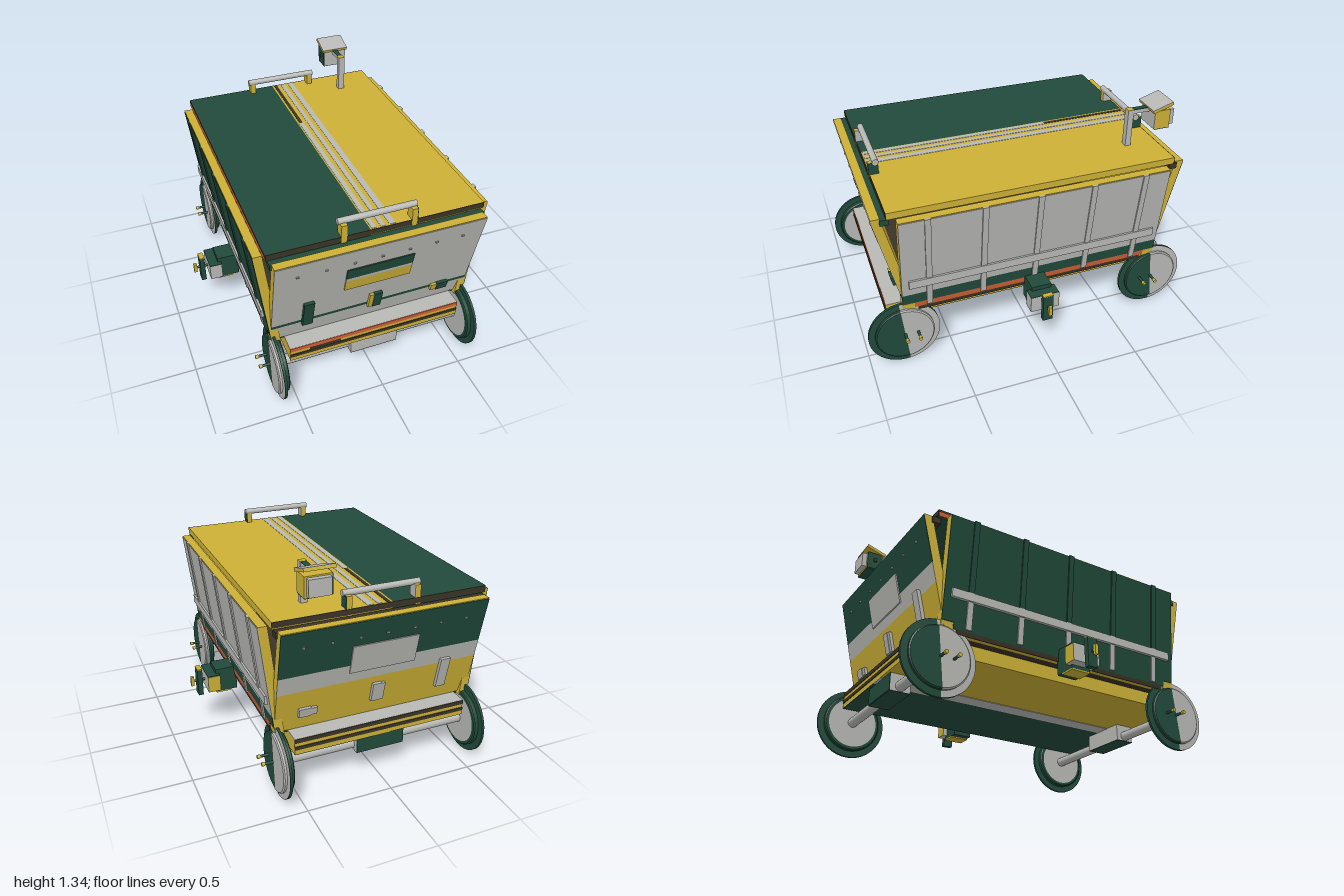
import * as THREE from 'three';

const mat = (name, color) => {
  const m = new THREE.MeshStandardMaterial({ color });
  m.name = name;
  return m;
};
const GRAY = mat('light gray', 0xb8b8b5);
const YELLOW = mat('yellow', 0xccb036);
const GREEN = mat('dark green', 0x214a3b);
const ORANGE = mat('orange', 0xcf5f35);
const BROWN = mat('dark brown', 0x3a3326);

export function createModel() {
  const root = new THREE.Group();
  root.name = 'hopperCart';

  const add = (name, geo, m, parent = root) => {
    const mesh = new THREE.Mesh(geo, m);
    mesh.name = name;
    parent.add(mesh);
    return mesh;
  };
  // Box given by its limits on each axis
  const box = (name, m, x0, x1, y0, y1, z0, z1, parent = root) => {
    const b = add(name, new THREE.BoxGeometry(Math.abs(x1 - x0), y1 - y0, Math.abs(z1 - z0)), m, parent);
    b.position.set((x0 + x1) / 2, (y0 + y1) / 2, (z0 + z1) / 2);
    return b;
  };
  // Cylinder lying along x
  const rodX = (name, m, r, x0, x1, y, z, parent = root) => {
    const c = add(name, new THREE.CylinderGeometry(r, r, Math.abs(x1 - x0), 24).rotateZ(Math.PI / 2), m, parent);
    c.position.set((x0 + x1) / 2, y, z);
    return c;
  };

  // Leaning hopper walls: outward distance of the outer face at height y
  const sideLean = y => 0.6 + (y - 0.4) * 0.12;
  const endLean = y => 0.77 + (y - 0.4) * 0.235;
  const walls = {
    left: { lean: sideLean, angle: 0, sign: 1 },
    right: { lean: sideLean, angle: Math.PI, sign: -1 },
    front: { lean: endLean, angle: -Math.PI / 2, sign: -1 },
    back: { lean: endLean, angle: Math.PI / 2, sign: 1 },
  };
  // Slab following a wall from y0 to y1, depth a to b from its face, u0 to u1 sideways
  const slab = (name, m, wall, y0, y1, a, b, u0, u1) => {
    const { lean, angle, sign } = walls[wall];
    const s = new THREE.Shape([
      new THREE.Vector2(lean(y0) + a, y0), new THREE.Vector2(lean(y0) + b, y0),
      new THREE.Vector2(lean(y1) + b, y1), new THREE.Vector2(lean(y1) + a, y1),
    ]);
    const g = new THREE.ExtrudeGeometry(s, { depth: u1 - u0, bevelEnabled: false });
    g.translate(0, 0, sign > 0 ? u0 : -u1).rotateY(angle);
    return add(name, g, m);
  };

  // Side walls with ribs and rail
  for (const wall of ['left', 'right']) {
    const isLeft = wall === 'left';
    const k = isLeft ? 1 : -1;
    const skin = isLeft ? GRAY : GREEN;
    slab(wall + 'Wall', YELLOW, wall, 0.36, 1.02, -0.05, 0, -0.79, 0.79);
    slab(wall + 'WallSkin', skin, wall, 0.49, 1.015, 0, 0.004, -0.79, 0.79);
    slab(wall + 'WallBand', GREEN, wall, 0.42, 0.49, 0, 0.004, -0.79, 0.79);
    slab(wall + 'WallSill', isLeft ? ORANGE : GREEN, wall, 0.385, 0.42, 0, 0.004, -0.72, 0.72);
    slab(wall + 'WallLowerSill', BROWN, wall, 0.36, 0.385, 0, 0.004, -0.7, 0.7);
    for (let i = -2; i <= 2; i++) {
      const z = i * 0.317;
      slab('upperRib', skin, wall, 0.6, 1.02, 0, 0.012, z - 0.017, z + 0.017);
      slab('lowerRib', GRAY, wall, 0.395, 0.6, 0, 0.012, z - 0.017, z + 0.017);
    }
    box('sideRail', GRAY, k * 0.615, k * 0.64, 0.55, 0.6, -0.75, 0.75);
  }

  // End walls with plate, bolts and brackets
  for (const wall of ['front', 'back']) {
    const isFront = wall === 'front';
    slab(wall + 'Wall', YELLOW, wall, 0.375, 1.02, -0.05, 0, -0.6, 0.6);
    const bands = isFront
      ? [[GRAY, 0.375, 0.48], [GREEN, 0.48, 0.503], [GRAY, 0.503, 1.015]]
      : [[YELLOW, 0.375, 0.63], [GRAY, 0.63, 0.74], [GREEN, 0.74, 1.015]];
    for (const [m, y0, y1] of bands) slab(wall + 'WallSkin', m, wall, y0, y1, 0, 0.004, -0.6, 0.6);
    const plate = isFront
      ? [[YELLOW, 0.69, 0.77], [GRAY, 0.77, 0.79], [GREEN, 0.79, 0.865]]
      : [[GRAY, 0.69, 0.865]];
    for (const [m, y0, y1] of plate) slab('badgePlate', m, wall, y0, y1, 0.004, 0.012, -0.195, 0.195);
    for (let i = -3; i <= 3; i++)
      slab('bolt', GRAY, wall, 0.911, 0.921, 0.004, 0.012, i * 0.158 - 0.007, i * 0.158 + 0.007);
    const a = isFront ? GREEN : GRAY, b = isFront ? YELLOW : GRAY;
    slab('tallBracket', a, wall, 0.465, 0.66, 0, 0.025, -0.425, -0.365);
    slab('middleBracket', a, wall, 0.465, 0.585, 0, 0.025, -0.005, 0.045);
    slab('middleBracketEdge', b, wall, 0.465, 0.58, 0, 0.022, -0.03, -0.005);
    slab('smallBracket', a, wall, 0.46, 0.515, 0, 0.025, 0.4, 0.47);
    slab('smallBracketEdge', b, wall, 0.465, 0.51, 0, 0.022, 0.365, 0.4);
  }

  // Rim strips closing the gap between lid and end walls
  box('frontRim', GREEN, -0.61, 0.61, 0.98, 1.015, 0.82, 0.87);
  box('backRim', BROWN, -0.61, 0.61, 0.98, 1.015, -0.87, -0.82);

  // Lid in two colours with centre stripes and edge trims
  box('lidRightHalf', GREEN, -0.62, -0.05, 1.02, 1.06, -0.84, 0.835);
  box('lidLeftHalf', YELLOW, -0.05, 0.62, 1.02, 1.06, -0.84, 0.835);
  box('lidStripe', GRAY, -0.042, -0.014, 1.058, 1.062, -0.3, 0.83);
  box('lidGroove', BROWN, -0.038, -0.018, 1.058, 1.062, -0.835, -0.3);
  box('lidStripe', GRAY, 0.01, 0.035, 1.058, 1.062, -0.835, 0.83);
  box('lidStripe', GRAY, 0.06, 0.095, 1.058, 1.062, -0.835, 0.83);
  box('lidFrontTrim', BROWN, -0.62, 0.62, 1.028, 1.06, 0.835, 0.839);
  box('lidBackTrim', BROWN, -0.62, 0.62, 1.028, 1.06, -0.844, -0.84);
  box('lidSideTrim', ORANGE, -0.624, -0.62, 1.02, 1.045, -0.84, 0.835);
  box('lidSideTrimTop', BROWN, -0.624, -0.62, 1.045, 1.06, -0.84, 0.835);

  // Lid handles
  for (const k of [1, -1]) {
    rodX('handleBar', GRAY, 0.018, -0.225, 0.225, 1.135, k * 0.8);
    for (const x of [-0.2, 0.2]) {
      box('handlePost', YELLOW, x - 0.015, x + 0.015, 1.02, 1.13, k * 0.785, k * 0.842);
      box('handlePostSide', x > 0 ? GREEN : GRAY, x + 0.015, x + 0.019, 1.06, 1.13, k * 0.785, k * 0.842);
    }
  }

  // Chassis with coloured underside and end stripes
  box('hopperFloor', BROWN, -0.57, 0.57, 0.36, 0.4, -0.76, 0.76);
  box('chassis', YELLOW, -0.52, 0.52, 0.28, 0.37, -0.87, 0.87);
  box('undersideLeft', GREEN, 0.05, 0.52, 0.277, 0.281, -0.87, 0.87);
  box('undersideStripe', GRAY, -0.05, 0.05, 0.277, 0.281, -0.87, 0.87);
  for (const k of [1, -1]) {
    box('chassisDeck', GRAY, -0.52, 0.52, 0.37, 0.375, k * 0.72, k * 0.87);
    box('chassisStripe', BROWN, -0.52, 0.52, 0.308, 0.328, k * 0.87, k * 0.874);
    box('chassisTopStripe', k > 0 ? ORANGE : BROWN, -0.52, 0.52, 0.35, 0.374, k * 0.87, k * 0.874);
  }
  box('chassisStain', BROWN, -0.4, -0.22, 0.328, 0.35, 0.87, 0.873);

  // Axles
  for (const z of [-0.79, 0.79]) {
    rodX('axle', GRAY, 0.03, -0.58, 0.58, 0.21, z);
    box('axleBlock', GRAY, -0.145, 0.145, 0.18, 0.28, z - 0.06, z + 0.06);
    box('axleBlockBase', GREEN, -0.145, 0.145, 0.176, 0.18, z - 0.06, z + 0.06);
    if (z < 0) box('axleBlockBack', GREEN, -0.145, 0.145, 0.18, 0.28, z - 0.064, z - 0.06);
  }

  // Flanged wheels; radius and distance along the axle
  const v = pts => pts.map(p => new THREE.Vector2(...p));
  const body = v([[0, 0.552], [0.165, 0.552], [0.172, 0.558], [0.172, 0.58], [0.21, 0.58], [0.21, 0.595],
    [0.172, 0.597], [0.172, 0.61], [0.165, 0.615], [0, 0.615]]);
  const face = v([[0.209, 0.597], [0.174, 0.599], [0.174, 0.611], [0.166, 0.617], [0, 0.617]]);
  const lathe = (pts, start, length) =>
    new THREE.LatheGeometry(pts, 40, start, length).rotateZ(-Math.PI / 2).toNonIndexed();
  for (const k of [1, -1]) for (const z of [0.79, -0.79]) {
    const wheel = new THREE.Group();
    wheel.name = 'wheel';
    wheel.position.set(0, 0.21, z);
    if (k < 0) wheel.rotation.y = Math.PI;
    root.add(wheel);
    const parts = [lathe(body, 0, Math.PI * 2), lathe(face, Math.PI / 2 + 0.1, Math.PI)];
    parts.forEach(g => g.computeVertexNormals());
    add('wheelBody', parts[0], GREEN, wheel);
    add('wheelFace', parts[1], GRAY, wheel);
    const inner = add('wheelInnerFace', new THREE.CircleGeometry(0.15, 40).rotateY(-Math.PI / 2), GRAY, wheel);
    inner.position.x = 0.55;
    // Hub pin and drive pin
    for (const dz of [0, -Math.sign(z) * k * 0.075]) {
      rodX('wheelPin', GREEN, 0.008, 0.61, 0.67, 0, dz, wheel);
      rodX('wheelPinCap', YELLOW, 0.011, 0.665, 0.682, 0, dz, wheel);
    }
  }

  // Side drive units
  for (const k of [1, -1]) {
    const unit = new THREE.Group();
    unit.name = 'driveUnit';
    root.add(unit);
    box('driveCoupling', GREEN, k * 0.59, k * 0.72, 0.28, 0.43, -0.06, 0.06, unit);
    box('driveCouplingBase', YELLOW, k * 0.63, k * 0.72, 0.272, 0.28, -0.06, 0.06, unit);
    box('driveBody', GRAY, k * 0.7, k * 0.775, 0.3, 0.4, -0.085, 0.085, unit);
    box('driveTop', GREEN, k * 0.7, k * 0.775, 0.4, 0.404, -0.085, 0.085, unit);
    box('driveBack', YELLOW, k * 0.7, k * 0.775, 0.3, 0.4, -0.089, -0.085, unit);
    box('driveLever', GREEN, k * 0.795, k * 0.825, 0.26, 0.43, -0.03, 0.03, unit);
    box('driveLeverTop', YELLOW, k * 0.795, k * 0.825, 0.43, 0.435, -0.03, 0.03, unit);
    rodX('driveShaft', GREEN, 0.008, k * 0.77, k * 0.845, 0.35, 0, unit);
    box('driveKnob', YELLOW, k * 0.843, k * 0.862, 0.32, 0.38, -0.01, 0.01, unit);
  }

  // Rear lamp on its mast
  const lamp = new THREE.Group();
  lamp.name = 'lamp';
  root.add(lamp);
  box('lampMast', GRAY, 0.362, 0.402, 1.06, 1.285, -0.675, -0.64, lamp);
  box('lampMastCap', YELLOW, 0.362, 0.402, 1.285, 1.289, -0.675, -0.64, lamp);
  box('lampArm', GRAY, 0.366, 0.398, 1.262, 1.284, -0.8, -0.67, lamp);
  box('lampArmTop', GREEN, 0.366, 0.398, 1.284, 1.288, -0.8, -0.675, lamp);
  box('lampHousing', YELLOW, 0.312, 0.462, 1.175, 1.288, -0.88, -0.785, lamp);
  box('lampFrontPlate', GRAY, 0.312, 0.462, 1.175, 1.288, -0.785, -0.781, lamp);
  box('lampSidePlate', GREEN, 0.308, 0.312, 1.175, 1.288, -0.88, -0.785, lamp);
  box('lampBase', GREEN, 0.312, 0.462, 1.171, 1.175, -0.88, -0.785, lamp);
  box('lampLens', GRAY, 0.325, 0.45, 1.185, 1.28, -0.91, -0.88, lamp);
  box('lampKnob', GREEN, 0.298, 0.31, 1.225, 1.25, -0.84, -0.82, lamp);
  const visor = new THREE.Group();
  visor.name = 'lampVisor';
  visor.position.set(0.383, 1.307, -0.828);
  visor.rotation.x = 0.31;
  lamp.add(visor);
  box('visorPlate', YELLOW, -0.086, 0.086, -0.01, 0.006, -0.065, 0.065, visor);
  box('visorTop', GRAY, -0.086, 0.086, 0.006, 0.01, -0.065, 0.065, visor);

  return root;
}
